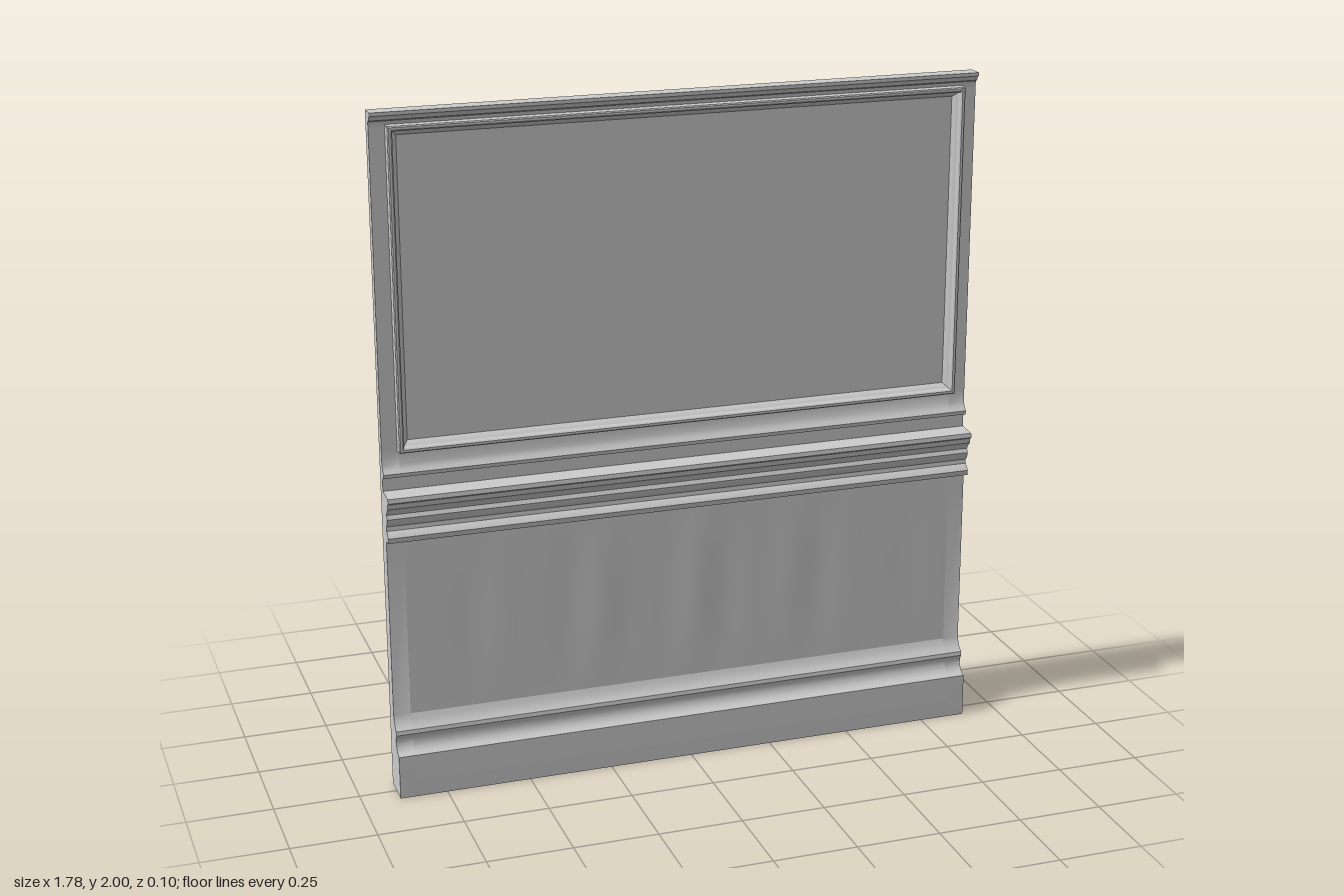
import * as THREE from 'three';
import { toCreasedNormals } from 'three/addons/utils/BufferGeometryUtils.js';

const HALF = 0.89, INNER = 0.84, BACK = -0.05, FIELD = -0.02;
const solid = new THREE.MeshStandardMaterial({ color: 0xcccccc });
const thin = new THREE.MeshStandardMaterial({ color: 0xcccccc, side: THREE.DoubleSide });

// Front profiles as [y, z], from bottom to top
const plinth = [[0, 0.053], [0.05, 0.053]];
const baseboard = [[0.05, 0.053], [0.13, 0.052], [0.136, 0.038], [0.145, 0.028], [0.16, 0.021],
  [0.175, 0.022], [0.188, 0.029], [0.2, 0.027], [0.212, 0.014], [0.225, 0.006], [0.24, 0]];
const chairRail = [[0.778, -0.002], [0.78, 0.024], [0.795, 0.026], [0.803, 0.02], [0.812, 0.009],
  [0.825, 0.008], [0.838, 0.018], [0.85, 0.021], [0.862, 0.015], [0.872, 0.02], [0.885, 0.033],
  [0.9, 0.035], [0.905, 0.042], [0.918, 0.04], [0.922, FIELD], [0.96, FIELD], [0.964, -0.004],
  [0.975, -0.003], [0.985, -0.012], [0.998, FIELD], [1.04, FIELD]];
const cornice = [[1.95, FIELD], [1.972, FIELD], [1.976, -0.012], [1.985, -0.008], [1.99, 0], [2, 0]];

// Solid bar with the given front profile, running along x
function bar(name, profile, x0, x1) {
  const shape = new THREE.Shape();
  shape.moveTo(BACK, profile[0][0]);
  profile.forEach(([y, z]) => shape.lineTo(z, y));
  shape.lineTo(BACK, profile[profile.length - 1][0]);
  const geo = new THREE.ExtrudeGeometry(shape, { depth: x1 - x0, bevelEnabled: false });
  geo.rotateY(-Math.PI / 2).translate(x1, 0, 0);
  const mesh = new THREE.Mesh(toCreasedNormals(geo, 0.6), solid);
  mesh.name = name;
  return mesh;
}

// Thin skin between the stiles that follows a profile, with an optional ripple in z
function skin(name, profile, ripple = null) {
  const geo = new THREE.PlaneGeometry(2 * INNER, 1, ripple ? 100 : 1, profile.length - 1);
  const pos = geo.attributes.position;
  const cols = ripple ? 101 : 2;
  for (let i = 0; i < pos.count; i++) {
    const [y, z] = profile[profile.length - 1 - Math.floor(i / cols)];
    const x = pos.getX(i);
    pos.setXYZ(i, x, y, z + (ripple ? ripple(x, y) : 0));
  }
  const mesh = new THREE.Mesh(toCreasedNormals(geo, 0.6), thin);
  mesh.name = name;
  return mesh;
}

// Mitred rectangular moulding; section is [inset, z]
function mitredFrame(name, hx, y0, y1, section) {
  const verts = [], index = [];
  section.forEach(([d, z]) => {
    verts.push(-hx + d, y0 + d, z, hx - d, y0 + d, z, hx - d, y1 - d, z, -hx + d, y1 - d, z);
  });
  for (let s = 0; s < section.length - 1; s++) {
    for (let c = 0; c < 4; c++) {
      const a = s * 4 + c, b = s * 4 + (c + 1) % 4;
      index.push(a, b, b + 4, a, b + 4, a + 4);
    }
  }
  const geo = new THREE.BufferGeometry();
  geo.setAttribute('position', new THREE.Float32BufferAttribute(verts, 3));
  geo.setIndex(index);
  const mesh = new THREE.Mesh(toCreasedNormals(geo, 0.6), thin);
  mesh.name = name;
  return mesh;
}

export function createModel() {
  const group = new THREE.Group();
  group.name = 'wallPanel';

  // Side stiles carry the whole profile to the ends
  const full = [...plinth, ...baseboard.slice(1), ...chairRail, ...cornice];
  group.add(bar('leftStile', full, INNER, HALF), bar('rightStile', full, -HALF, -INNER));

  // Top and bottom rails close the hollow back
  group.add(bar('topRail', cornice, -INNER, INNER), bar('bottomRail', plinth, -INNER, INNER));

  // Mouldings
  group.add(skin('baseboard', baseboard), skin('chairRail', chairRail));

  // Lower panel with faint vertical ripples that fade at its edges
  const lower = [];
  for (let i = 0; i <= 12; i++) lower.push([0.24 + 0.538 * i / 12, -0.002 * i / 12]);
  group.add(skin('lowerPanel', lower, (x, y) => {
    const t = (y - 0.24) / 0.538;
    const fade = Math.sin(Math.PI * t) * (1 - (x / INNER) ** 2);
    return 0.0015 * fade * (Math.sin(23 * x + 1) + 0.6 * Math.sin(41 * x));
  }));

  // Upper panel and its picture moulding
  const field = new THREE.Mesh(new THREE.PlaneGeometry(1.64, 0.87), thin);
  field.name = 'upperPanel';
  field.position.set(0, 1.5, FIELD + 0.001);
  group.add(field);
  group.add(mitredFrame('panelMoulding', 0.845, 1.038, 1.962, [
    [0, FIELD], [0, 0.009], [0.003, 0.012], [0.01, 0.012], [0.014, 0.008],
    [0.016, -0.003], [0.022, -0.009], [0.028, -0.016], [0.03, FIELD]]));
  return group;
}
